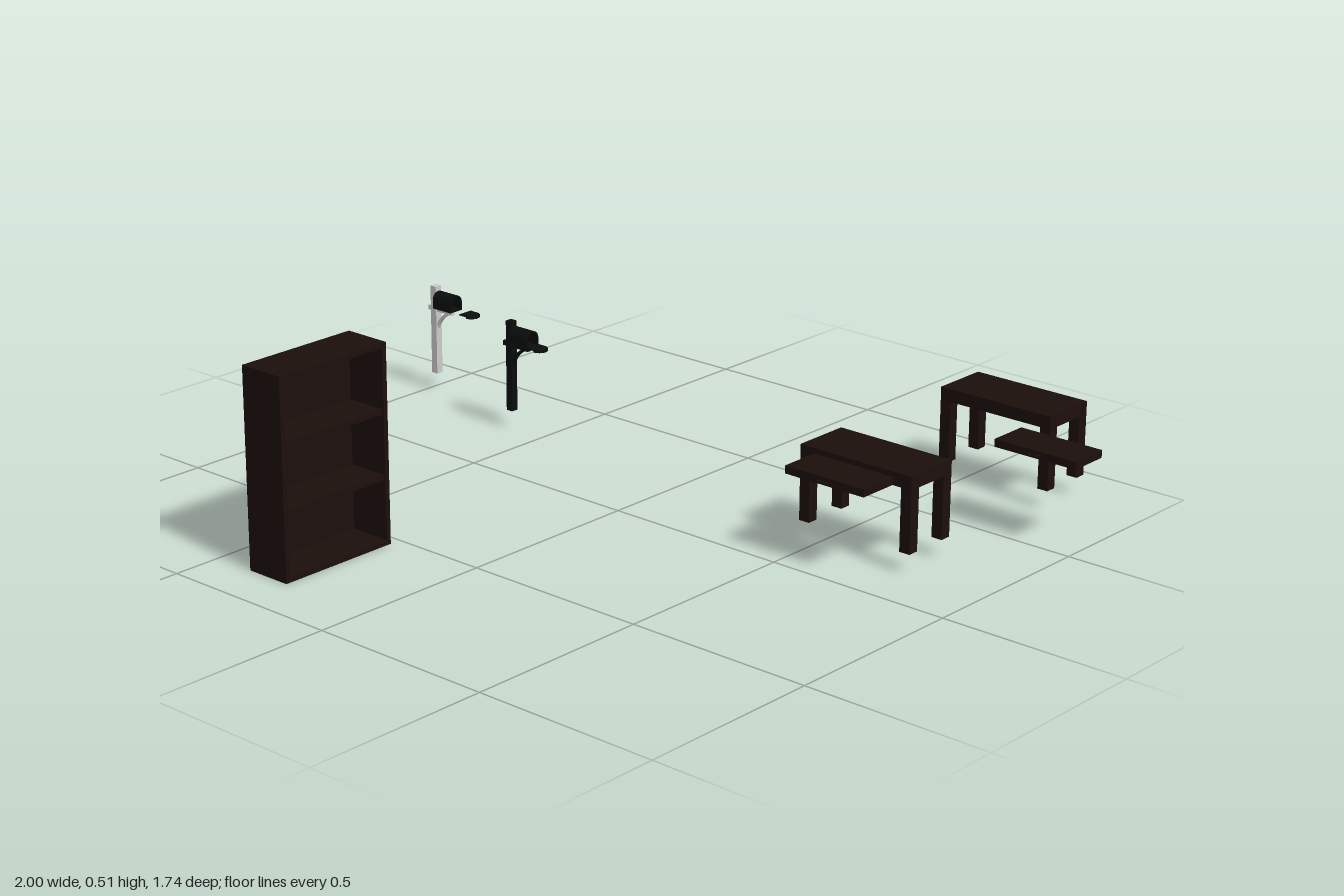
import * as THREE from 'three';

const wood = new THREE.MeshStandardMaterial({ color: 0x1c0f0c });
const black = new THREE.MeshStandardMaterial({ color: 0x0b0d0d });
const grey = new THREE.MeshStandardMaterial({ color: 0xcccccc });

function add(parent, name, geometry, material) {
  const mesh = new THREE.Mesh(geometry, material);
  mesh.name = name;
  parent.add(mesh);
  return mesh;
}

// Box given by its lowest and highest corners
function box(parent, name, material, [x0, y0, z0], [x1, y1, z1]) {
  const mesh = add(parent, name, new THREE.BoxGeometry(x1 - x0, y1 - y0, z1 - z0), material);
  mesh.position.set((x0 + x1) / 2, (y0 + y1) / 2, (z0 + z1) / 2);
  return mesh;
}

function named(name, x = 0, y = 0, z = 0) {
  const group = new THREE.Group();
  group.name = name;
  group.position.set(x, y, z);
  return group;
}

// Bookcase, open towards +x
function createBookcase() {
  const g = named('bookcase', -0.323, 0, 0.7);
  const w = 0.063, d = 0.17, h = 0.514, t = 0.013;
  box(g, 'backPanel', wood, [-w, 0, -d], [-w + t, h, d]);
  for (const s of [-1, 1]) {
    const z = s * (d - t / 2);
    box(g, 'sidePanel', wood, [-w + t, 0, z - t / 2], [w, h, z + t / 2]);
  }
  for (let i = 0; i < 4; i++) {
    const y = (i * (h - t)) / 3;
    const name = ['floorPanel', 'shelf', 'shelf', 'topPanel'][i];
    box(g, name, wood, [-w + t, y, -d + t], [i % 3 ? w - 0.004 : w, y + t, d - t]);
  }
  return g;
}

// Desk: thick top on four square legs
function createDesk(x, z) {
  const g = named('desk', x, 0, z);
  const w = 0.167, d = 0.078, leg = 0.03;
  box(g, 'deskTop', wood, [-w, 0.212, -d], [w, 0.246, d]);
  for (const sx of [-1, 1]) for (const sz of [-1, 1]) {
    const cx = sx * (w - leg / 2), cz = sz * (d - leg / 2);
    box(g, 'deskLeg', wood, [cx - leg / 2, 0.05, cz - leg / 2], [cx + leg / 2, 0.212, cz + leg / 2]);
  }
  return g;
}

// Sliding tray with a thin pull handle at its front edge
function createTray(x, z) {
  const g = named('tray', x, 0.228, z);
  const w = 0.118, d = 0.055, r = 0.002;
  box(g, 'trayBoard', wood, [-w, -0.01, -d], [w, 0.01, d]);
  for (const s of [-1, 1]) {
    box(g, 'handleStem', wood, [s * 0.012 - r, -r, d], [s * 0.012 + r, r, d + 0.012]);
  }
  box(g, 'handleBar', wood, [-0.014, -r, d + 0.009], [0.014, r, d + 0.013]);
  return g;
}

// Arched outline standing on y = 0
function arch(radius, wall, base = 0) {
  const s = new THREE.Shape();
  s.moveTo(-radius, base);
  s.lineTo(radius, base);
  s.lineTo(radius, wall);
  s.absarc(0, wall, radius, 0, Math.PI, false);
  s.closePath();
  return s;
}

function extrude(shape, depth) {
  return new THREE.ExtrudeGeometry(shape, { depth, bevelEnabled: false, curveSegments: 12 });
}

// Post box: post, arm, curved brace, hollow arched body and a lowered door
function createPostBox(x, z, postMaterial, doorX) {
  const g = named('postBox', x, 0, z);
  box(g, 'post', postMaterial, [-0.01, 0.05, -0.01], [0.01, 0.298, 0.01]);
  box(g, 'arm', postMaterial, [-0.024, 0.227, -0.006], [0.065, 0.24, 0.006]);

  const brace = new THREE.Shape();
  brace.moveTo(0.01, 0.178);
  brace.quadraticCurveTo(0.02, 0.212, 0.056, 0.228);
  brace.lineTo(0.042, 0.228);
  brace.quadraticCurveTo(0.02, 0.216, 0.01, 0.196);
  brace.closePath();
  add(g, 'brace', extrude(brace, 0.01).translate(0, 0, -0.005), postMaterial);

  const shell = arch(0.022, 0.023);
  shell.holes.push(arch(0.0195, 0.023, 0.0025));
  const length = 0.067;
  const body = add(g, 'boxBody', extrude(shell, length).rotateY(Math.PI / 2), black);
  body.position.set(0.01, 0.24, 0);
  const back = add(g, 'boxBack', extrude(arch(0.0215, 0.023), 0.003).rotateY(Math.PI / 2), black);
  back.position.set(0.01, 0.24, 0);

  // Door lying flat, its rounded end pointing away from the post
  const door = named('door', doorX, 0.242, 0);
  const lay = new THREE.Matrix4().makeBasis(
    new THREE.Vector3(0, 0, 1), new THREE.Vector3(1, 0, 0), new THREE.Vector3(0, 1, 0));
  add(door, 'doorPanel', extrude(arch(0.022, 0.025), 0.003).applyMatrix4(lay), black);
  const rim = new THREE.Shape();
  rim.absarc(0, 0.025, 0.022, 0, Math.PI, false);
  rim.absarc(0, 0.025, 0.02, Math.PI, 0, true);
  add(door, 'doorRim', extrude(rim, 0.004).translate(0, 0, -0.004).applyMatrix4(lay), black);
  g.add(door);
  return g;
}

export function createModel() {
  const model = named('furnitureSet');
  model.add(
    createBookcase(),
    createDesk(0.618, -0.792),
    createDesk(0.618, -0.232),
    createTray(0.881, -0.567),
    createTray(0.621, -0.087),
    createPostBox(-0.975, -0.342, grey, 0.11),
    createPostBox(-0.612, -0.259, black, 0.077),
  );
  return model;
}
